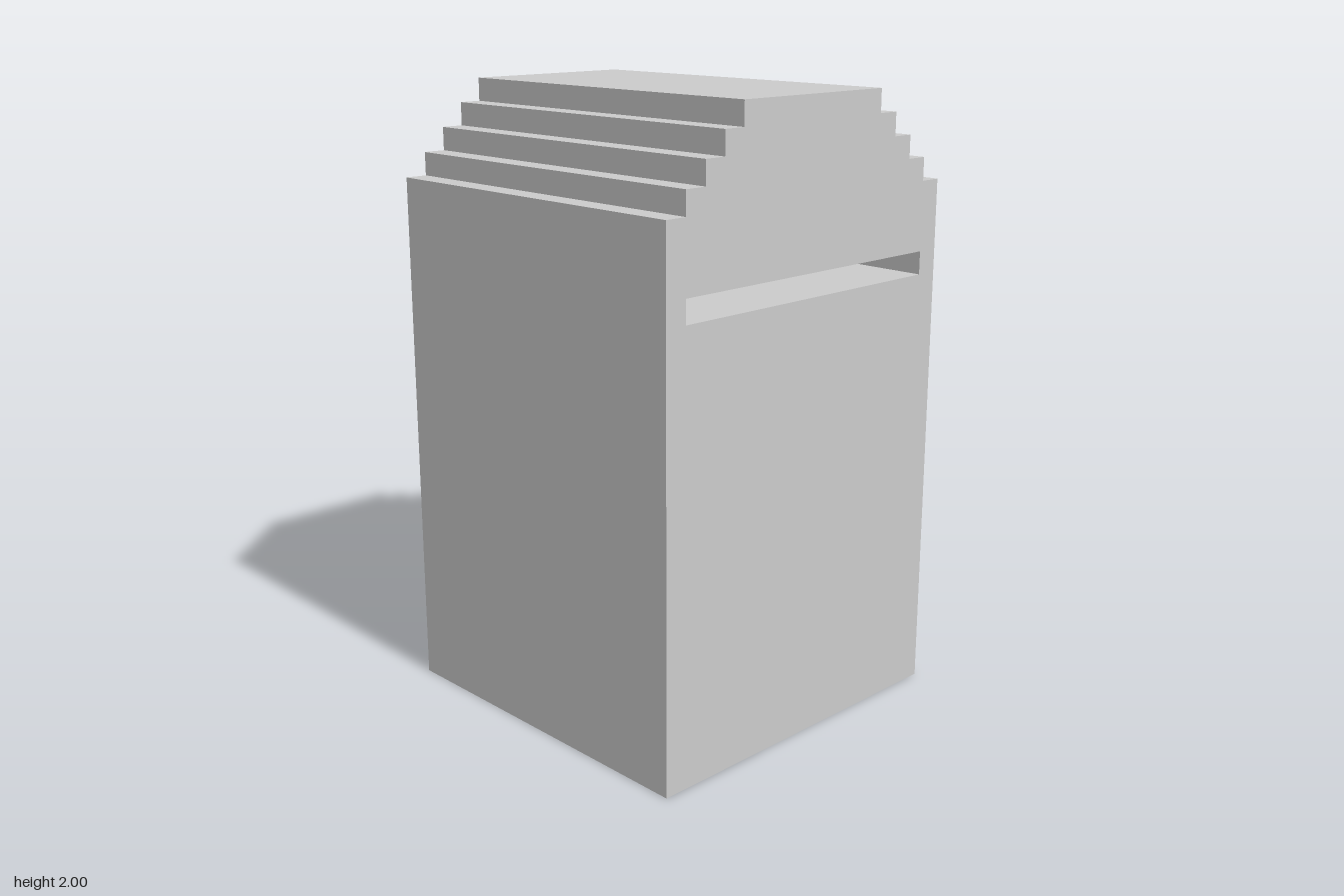
import * as THREE from 'three';

const U = 2 / 27; // module unit: the block is 27 units tall and 16 wide

export function createModel() {
  const group = new THREE.Group();
  group.name = 'steppedBlock';

  // Side profile: upright body with a stepped top, mirrored front to back
  const half = [[8, 0]];
  for (let i = 0; i <= 4; i++) {
    half.push([8 - i, 23 + i]);
    if (i < 4) half.push([7 - i, 23 + i]);
  }
  const outline = [...half, ...half.map(([z, y]) => [-z, y]).reverse()];
  const toPoints = (list) => list.map(([z, y]) => new THREE.Vector2(z * U, y * U));
  const profile = new THREE.Shape(toPoints(outline));

  // Narrow slot running right through from side to side
  profile.holes.push(new THREE.Path(toPoints([[-7, 19], [-7, 20], [7, 20], [7, 19]])));

  const geometry = new THREE.ExtrudeGeometry(profile, { depth: 16 * U, bevelEnabled: false });
  geometry.translate(0, 0, -8 * U);
  geometry.rotateY(Math.PI / 2);

  const body = new THREE.Mesh(
    geometry,
    new THREE.MeshStandardMaterial({ color: 0xcccccc, flatShading: true })
  );
  body.name = 'slottedBody';
  group.add(body);
  return group;
}
